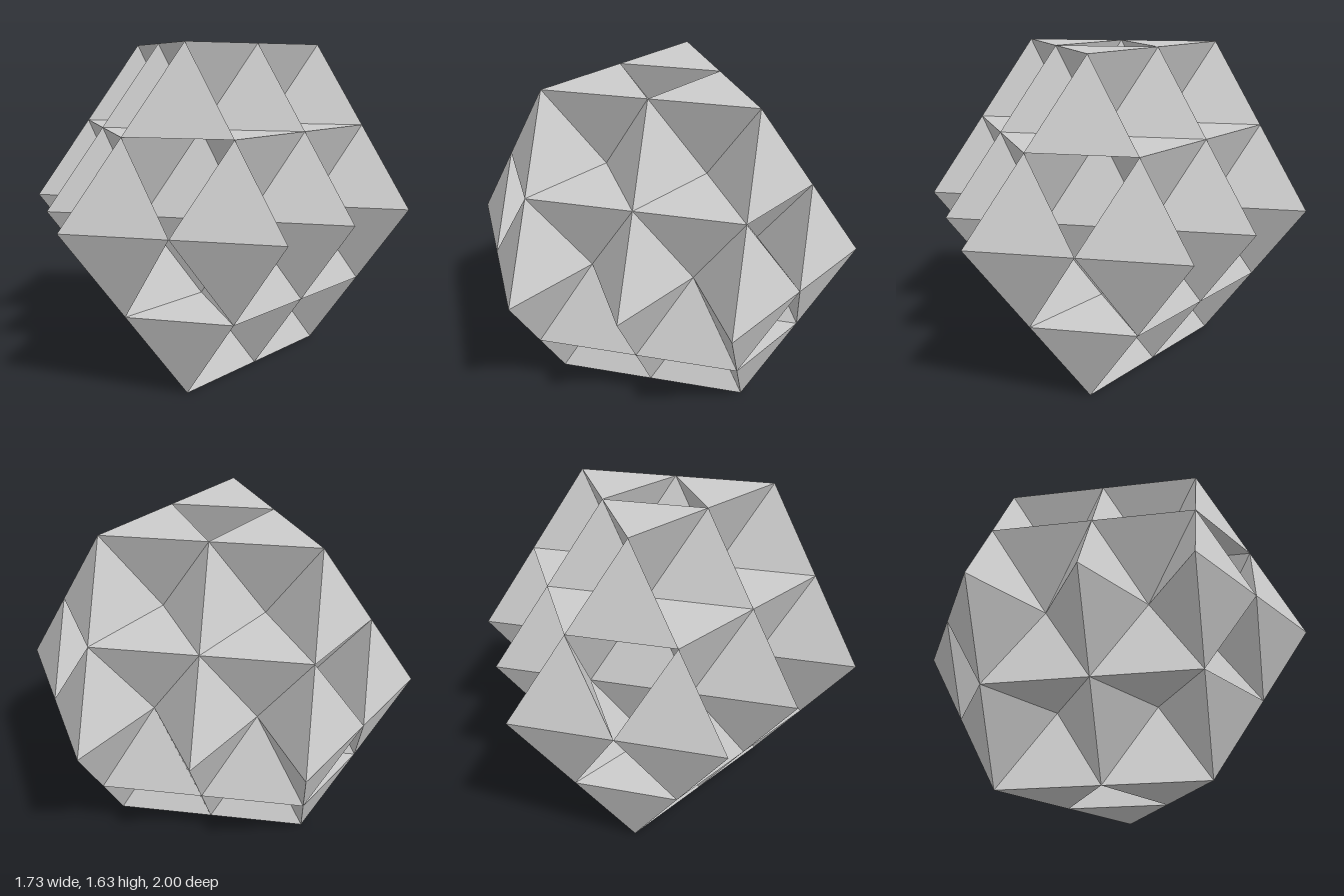
import * as THREE from 'three';

const EDGE = 0.5;
const R = EDGE / Math.sqrt(3);          // circumradius of a tetrahedron face
const H = EDGE * Math.sqrt(2 / 3);      // height of a tetrahedron
const STEP = EDGE * Math.sqrt(3) / 2;   // distance between rows along x

// Regular tetrahedron centred at mid-height: upright with a base corner at +x,
// or inverted with a top corner at -x
function tetrahedron(inverted) {
  const geometry = new THREE.ConeGeometry(R, H, 3).toNonIndexed();
  geometry.rotateY(Math.PI / 2);
  if (inverted) geometry.rotateX(Math.PI).rotateY(Math.PI);
  geometry.computeVertexNormals();
  return geometry;
}

// Layers of the upper half: first row's x, and the number of solids in each row
const layers = [
  { name: 'lowerUpright', level: 0, inverted: false, x: -2.5 * R, rows: [2, 3, 4, 3] },
  { name: 'lowerInverted', level: 0, inverted: true, x: -1.5 * R, rows: [2, 3, 2] },
  { name: 'outerUpright', level: 1, inverted: false, x: -2 * R, rows: [1, 2, 3] },
  { name: 'outerInverted', level: 1, inverted: true, x: -R, rows: [1, 2] },
];

export function createModel() {
  const model = new THREE.Group();
  model.name = 'tetrahedronCluster';
  const material = new THREE.MeshStandardMaterial({ color: 0xcccccc, flatShading: true });
  const upright = tetrahedron(false);
  const inverted = tetrahedron(true);

  // The lower half is the upper one turned over about the x axis
  for (const side of ['upper', 'lower']) {
    const half = new THREE.Group();
    half.name = side + 'Half';
    half.position.y = 2 * H;
    if (side === 'lower') half.rotation.x = Math.PI;

    for (const layer of layers) {
      const group = new THREE.Group();
      group.name = layer.name + 'Tetrahedra';
      layer.rows.forEach((count, row) => {
        for (let i = 0; i < count; i++) {
          const mesh = new THREE.Mesh(layer.inverted ? inverted : upright, material);
          mesh.name = 'tetrahedron';
          mesh.position.set(
            layer.x + row * STEP,
            (layer.level + 0.5) * H,
            (i - (count - 1) / 2) * EDGE
          );
          group.add(mesh);
        }
      });
      half.add(group);
    }
    model.add(half);
  }
  return model;
}
